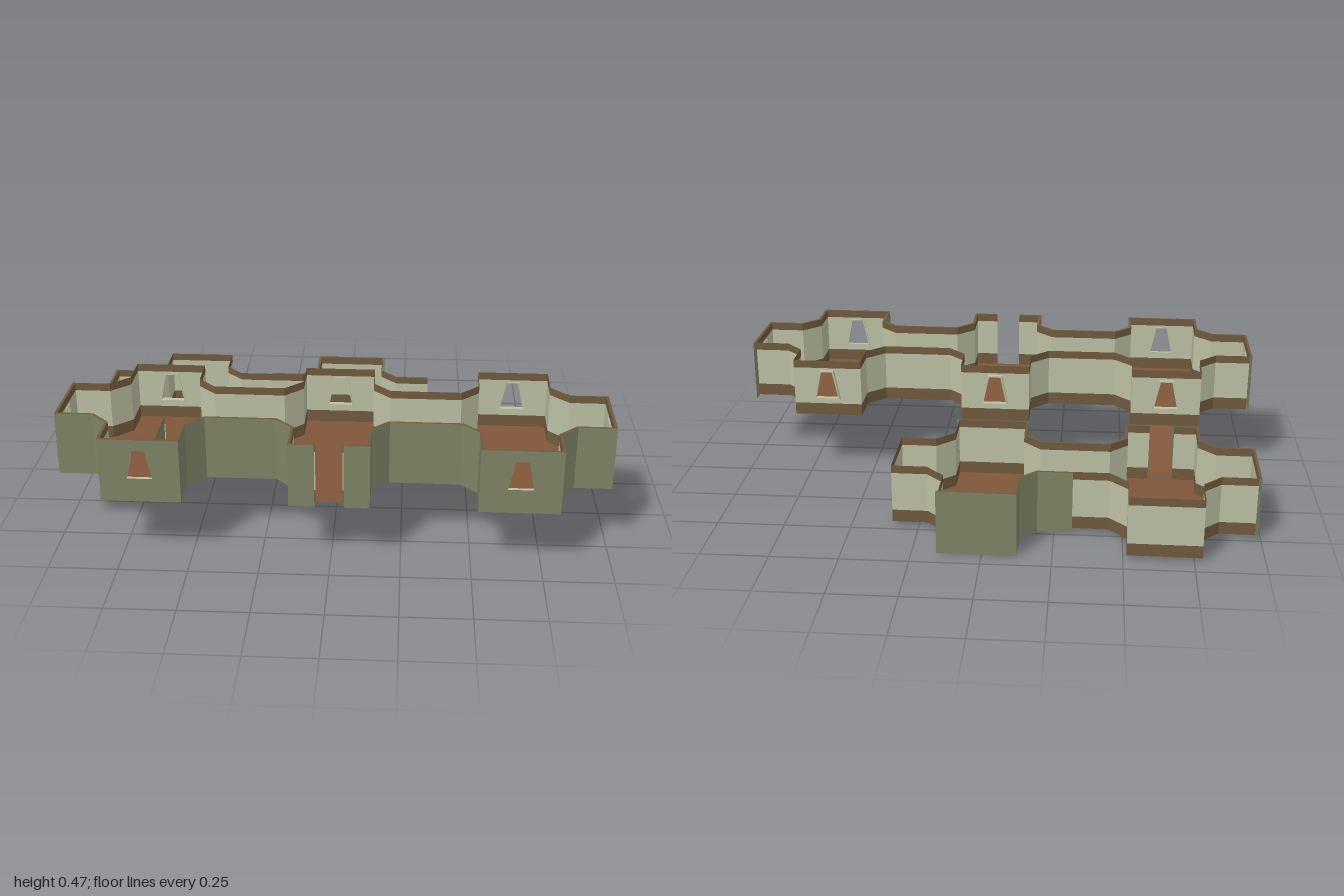
import * as THREE from 'three';

const mat = (name, color) => {
  const m = new THREE.MeshStandardMaterial({ color, side: THREE.DoubleSide });
  m.name = name;
  return m;
};
const ARM = 0.133, CHAMFER = 0.2, HALF = 0.332, SHELL = 0.01, WALL_TOP = 0.24, FLOOR = 0.015;
const DOOR = 0.095;

// Outline of a row of cross-shaped rooms, grown outwards by d
function outline(n, d) {
  const a = ARM + d, k = CHAMFER + 0.414 * d, h = HALF + d, end = n * HALF + d;
  const front = [[-end, a]];
  for (let r = 0; r < n; r++) {
    const c = (2 * r - n + 1) * HALF;
    front.push([c - k, a], [c - a, k], [c - a, h], [c + a, h], [c + a, k], [c + k, a]);
  }
  front.push([end, a]);
  const back = front.map(([x, z]) => [x, -z]).reverse();
  return [...front, ...back].map(([x, z]) => new THREE.Vector2(x, z));
}

// Window opening, wider at the bottom, centred on u
const trapezoid = (u, grow = 0) => [
  [u - 0.045 - grow, 0.09 - grow], [u + 0.045 + grow, 0.09 - grow],
  [u + 0.022 + grow, 0.198 + grow], [u - 0.022 - grow, 0.198 + grow],
].map(([x, y]) => new THREE.Vector2(x, y));

function add(group, name, geometry, material) {
  const mesh = new THREE.Mesh(geometry, material);
  mesh.name = name;
  group.add(mesh);
  return mesh;
}

// Flat horizontal plate from plan points
function plate(points, y, holePoints) {
  const flip = (list) => list.map((p) => new THREE.Vector2(p.x, -p.y));
  const shape = new THREE.Shape(flip(points));
  if (holePoints) shape.holes.push(new THREE.Path(flip(holePoints)));
  return new THREE.ShapeGeometry(shape).rotateX(-Math.PI / 2).translate(0, y, 0);
}

// Upright sheet from p to q, between two heights
function sheet(group, name, p, q, y0, y1, material, windowed) {
  const len = p.distanceTo(q);
  const shape = new THREE.Shape([[0, y0], [len, y0], [len, y1], [0, y1]].map((v) => new THREE.Vector2(...v)));
  if (windowed) shape.holes.push(new THREE.Path(trapezoid(len / 2)));
  place(add(group, name, new THREE.ShapeGeometry(shape), material), p, q);
}

function place(mesh, p, q) {
  mesh.position.set(p.x, 0, p.y);
  mesh.rotation.y = Math.atan2(p.y - q.y, q.x - p.x);
}

function windowFrame(group, p, q, depth, material) {
  const u = p.distanceTo(q) / 2;
  const shape = new THREE.Shape(trapezoid(u, 0.005));
  shape.holes.push(new THREE.Path(trapezoid(u)));
  const geo = new THREE.ExtrudeGeometry(shape, { depth: depth + 0.004, bevelEnabled: false });
  place(add(group, 'windowFrame', geo.translate(0, 0, -0.004), material), p, q);
}

// One storey: floor, lined walls and the outer shell on the finished sides
function storey(name, n, { windows, doors, shells, stairHole }, mats) {
  const group = new THREE.Group();
  group.name = name;
  const inner = outline(n, 0), outer = outline(n, SHELL);
  add(group, 'floor', plate(inner, FLOOR, stairHole), mats.floor);

  inner.forEach((p0, i) => {
    const j = (i + 1) % inner.length;
    const windowed = windows.includes(i);
    const shellEnd = shells.get(i);
    const gap = DOOR / 2 / p0.distanceTo(inner[j]);
    const spans = doors.includes(i) ? [[0, 0.5 - gap], [0.5 + gap, 1]] : [[0, 1]];
    for (const [s, t] of spans) {
      const p = p0.clone().lerp(inner[j], s), q = p0.clone().lerp(inner[j], t);
      sheet(group, 'skirting', p, q, FLOOR, 0.062, mats.trim);
      sheet(group, 'wall', p, q, 0.062, 0.21, mats.wall, windowed);
      sheet(group, 'topTrim', p, q, 0.21, WALL_TOP, mats.trim);
      if (windowed) windowFrame(group, p, q, shellEnd ? SHELL - 0.0005 : 0.018, mats.wall);
      if (!shellEnd) continue;
      const e = Math.min(t, shellEnd);
      const op = outer[i].clone().lerp(outer[j], s), oq = outer[i].clone().lerp(outer[j], e);
      sheet(group, 'outerShell', op, oq, 0, WALL_TOP, mats.shell, windowed);
      add(group, 'wallCap', plate([p, p0.clone().lerp(inner[j], e), oq, op], WALL_TOP), mats.trim);
    }
  });
  return group;
}

// Sloping stair shaft that hangs under the upper floor
function stairShaft(x0, x1, z0, z1, mats) {
  const group = new THREE.Group();
  group.name = 'stairShaft';
  const low = -0.215, foot = z0 + 0.06, w = x1 - x0, mid = (x0 + x1) / 2;
  const side = new THREE.Shape([[z0, low], [foot, low], [z1, FLOOR], [z0, FLOOR]].map((v) => new THREE.Vector2(...v)));
  for (const x of [x0, x1]) {
    const geo = new THREE.ShapeGeometry(side).rotateY(-Math.PI / 2);
    add(group, 'shaftSide', geo.translate(x, 0, 0), mats.shell);
  }
  const rise = FLOOR - low, run = z1 - foot;
  const ramp = add(group, 'ramp', new THREE.PlaneGeometry(w, Math.hypot(rise, run)).rotateX(-Math.PI / 2), mats.floor);
  ramp.position.set(mid, (low + FLOOR) / 2, (foot + z1) / 2);
  ramp.rotation.x = -Math.atan2(rise, run);
  const landing = add(group, 'landing', new THREE.PlaneGeometry(w, foot - z0).rotateX(-Math.PI / 2), mats.floor);
  landing.position.set(mid, low, (z0 + foot) / 2);
  return group;
}

export function createModel() {
  const mats = {
    shell: mat('moss green', 0x7d8364),
    wall: mat('pale cream', 0xbcc0a3),
    trim: mat('dark wood', 0x705a3d),
    floor: mat('red brown floor', 0x7f563a),
  };
  const model = new THREE.Group();
  model.name = 'twoStoreyRooms';

  // Upper row of three rooms, front
  const x0 = -0.705, x1 = -0.61, z0 = -0.325, z1 = -0.05;
  const upperShells = new Map([[39, 1]]);
  for (let i = 0; i <= 19; i++) upperShells.set(i, 1);
  const upper = storey('upperStorey', 3, {
    windows: [3, 15, 19, 23, 29, 35, 39],
    doors: [9],
    shells: upperShells,
    stairHole: [[x0, z0], [x1, z0], [x1, z1], [x0, z1]].map((v) => new THREE.Vector2(...v)),
  }, mats);
  upper.add(stairShaft(x0, x1, z0, z1, mats));
  upper.position.set(0, 0.23, 0.33);
  upper.rotation.y = -0.01;

  // Lower row of two rooms, back
  const lowerShells = new Map([[17, 1], [18, 1], [19, 1], [20, 0.5], [27, 1]]);
  for (let i = 0; i <= 9; i++) lowerShells.set(i, 1);
  const lower = storey('lowerStorey', 2, { windows: [], doors: [3], shells: lowerShells }, mats);
  lower.position.set(-0.317, 0, -0.34);
  lower.rotation.y = -0.01;

  model.add(upper, lower);
  return model;
}
